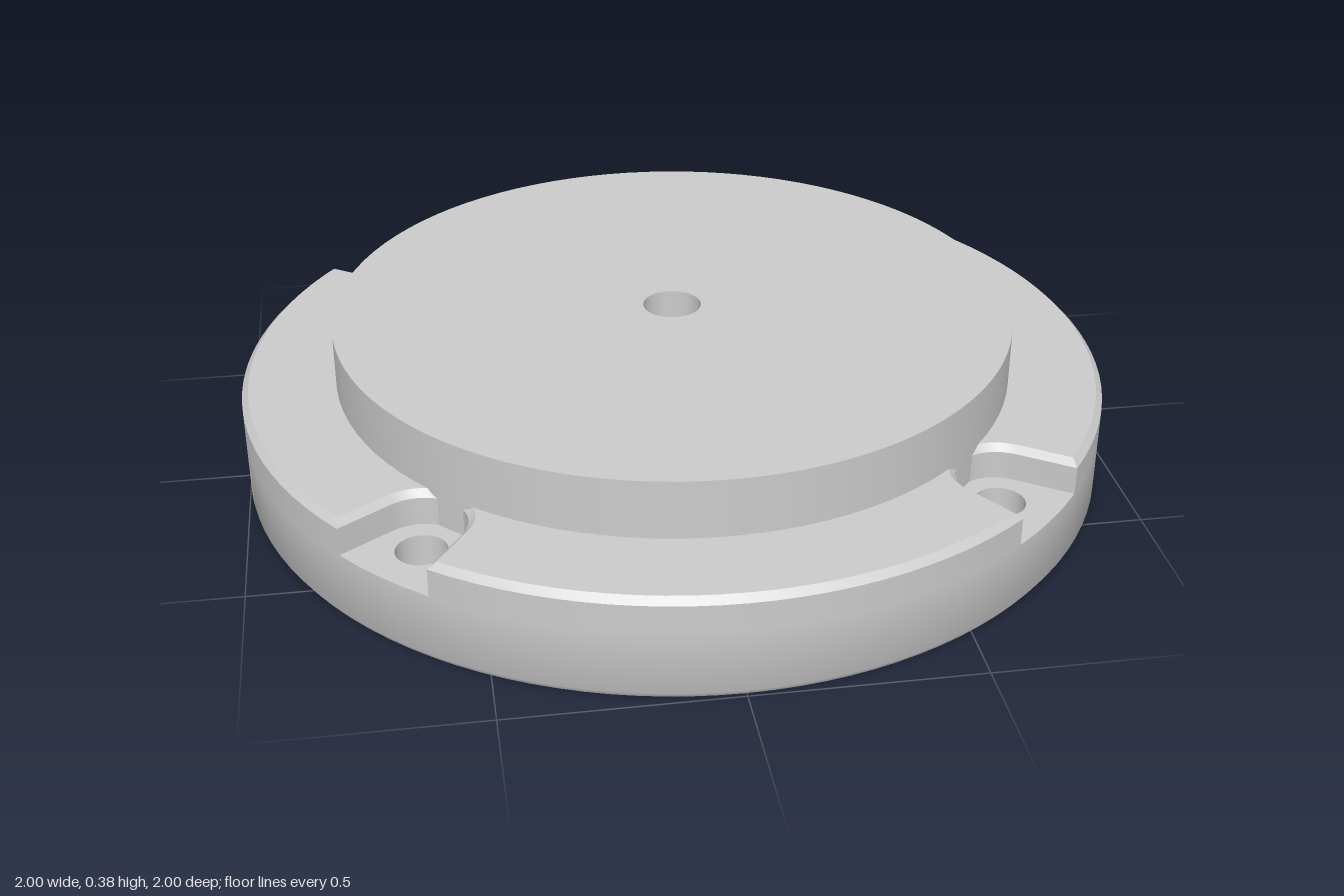
import * as THREE from 'three';
import { toCreasedNormals } from 'three/addons/utils/BufferGeometryUtils.js';

const FLOOR = 0.16, FLANGE_TOP = 0.24, TOP = 0.375, CHAMFER = 0.015;
const PEDESTAL_R = 0.785, BOLT_R = 0.877, NOTCH_R = 0.1, NOTCH_HALF = 0.1245;
const PORT_R = 0.09, PORT_Y = 0.12, RIM_STEPS = 24;
const RIM_SPAN = Math.PI / 2 - 2 * NOTCH_HALF;
const PATCH = 3 * RIM_SPAN / RIM_STEPS; // half angle of the wall patch around the side port

const grey = new THREE.MeshStandardMaterial({ color: 0xcccccc });
const greyDouble = new THREE.MeshStandardMaterial({ color: 0xcccccc, side: THREE.DoubleSide });

const polar = (r, a) => new THREE.Vector2(r * Math.cos(a), r * Math.sin(a));

function arc(r, from, to, steps) {
  return Array.from({ length: steps + 1 }, (_, i) => polar(r, from + (to - from) * i / steps));
}

function circleHole(x, y, r) {
  return new THREE.Path().absarc(x, y, r, 0, Math.PI * 2, true);
}

// Rounded inner edge of the notch on the diagonal at angle d
function notchArc(d) {
  const c = polar(BOLT_R, d);
  return arc(NOTCH_R, d - 1.76, d - 2 * Math.PI + 1.76, 20).map(p => p.add(c));
}

// Rim outline, either a full circle or with the four notches cut in
function rimOutline(notched) {
  const pts = [];
  for (let k = 0; k < 4; k++) {
    const d = Math.PI / 4 + k * Math.PI / 2;
    pts.push(...arc(1, d - Math.PI / 2 + NOTCH_HALF, d - NOTCH_HALF, RIM_STEPS));
    if (notched) pts.push(...notchArc(d));
    else pts.push(...arc(1, d - NOTCH_HALF, d + NOTCH_HALF, 4).slice(1, -1));
  }
  return new THREE.Shape(pts);
}

// Keep only the triangles whose centre passes the test
function keepFaces(geo, test) {
  const p = geo.attributes.position, out = [];
  const v = [0, 1, 2].map(() => new THREE.Vector3());
  for (let i = 0; i < p.count; i += 3) {
    v.forEach((q, j) => q.fromBufferAttribute(p, i + j));
    const c = new THREE.Vector3().add(v[0]).add(v[1]).add(v[2]).divideScalar(3);
    if (test(c)) v.forEach(q => out.push(q.x, q.y, q.z));
  }
  const g = new THREE.BufferGeometry();
  g.setAttribute('position', new THREE.Float32BufferAttribute(out, 3));
  return g;
}

const inPortPatch = c => c.x < -0.97 && Math.abs(c.z) < Math.sin(PATCH) && c.y > 0.02 && c.y < 0.22;

// Move every vertex by a rule
function reshape(geo, rule) {
  const p = geo.attributes.position, v = new THREE.Vector3();
  for (let i = 0; i < p.count; i++) {
    rule(v.fromBufferAttribute(p, i));
    p.setXYZ(i, v.x, v.y, v.z);
  }
  return geo;
}

export function createModel() {
  const group = new THREE.Group();
  const add = (name, geo, material = grey) => {
    const mesh = new THREE.Mesh(toCreasedNormals(geo, 0.6), material);
    mesh.name = name;
    group.add(mesh);
    return mesh;
  };
  const diagonals = [0, 1, 2, 3].map(k => Math.PI / 4 + k * Math.PI / 2);

  // Base disc with bolt holes, dowel holes and a small lower chamfer
  const baseShape = rimOutline(false);
  for (const d of diagonals) {
    const c = polar(BOLT_R, d);
    baseShape.holes.push(circleHole(c.x, c.y, 0.056));
  }
  for (const s of [-1, 1]) baseShape.holes.push(circleHole(0, s * 0.88, 0.044));
  const base = new THREE.ExtrudeGeometry(baseShape, { depth: FLOOR, steps: 2, bevelEnabled: false, curveSegments: 32 });
  base.rotateX(-Math.PI / 2);
  reshape(base, v => {
    if (Math.abs(v.y - FLOOR / 2) < 0.001) v.y = CHAMFER;
    else if (v.y < 0.001 && Math.hypot(v.x, v.z) > 0.98) { v.x *= 0.99; v.z *= 0.99; }
  });
  add('baseDisc', keepFaces(base, c => c.y < FLOOR - 0.001 && !inPortPatch(c)));

  // Raised flange with four notches and a chamfered upper edge
  const flangeShape = rimOutline(true);
  flangeShape.holes.push(circleHole(0, 0, 0.7));
  const flange = new THREE.ExtrudeGeometry(flangeShape, {
    depth: FLANGE_TOP - CHAMFER - FLOOR, curveSegments: 48,
    bevelSegments: 1, bevelSize: CHAMFER, bevelThickness: CHAMFER, bevelOffset: -CHAMFER,
  });
  flange.rotateX(-Math.PI / 2).translate(0, FLOOR, 0);
  add('flange', keepFaces(flange, c => c.y > FLOOR && !inPortPatch(c)));

  // Notch floors around the bolt holes
  for (const d of diagonals) {
    const shape = new THREE.Shape([...notchArc(d), ...arc(1, d + NOTCH_HALF, d - NOTCH_HALF, 4)]);
    const c = polar(BOLT_R, d);
    shape.holes.push(circleHole(c.x, c.y, 0.056));
    add('notchFloor', new THREE.ShapeGeometry(shape, 32).rotateX(-Math.PI / 2).translate(0, FLOOR, 0));
  }

  // Closed ends of the two dowel holes
  for (const s of [-1, 1]) {
    add('dowelHoleEnd', new THREE.CircleGeometry(0.046, 32).rotateX(Math.PI / 2).translate(0, FLOOR - 0.005, s * 0.88), greyDouble);
  }

  // Pedestal with a blind centre bore
  const profile = [[PEDESTAL_R, FLOOR], [PEDESTAL_R, TOP], [0.067, TOP], [0.067, 0.22], [0, 0.22]];
  const pedestal = new THREE.LatheGeometry(profile.map(p => new THREE.Vector2(...p)), 96);
  add('pedestal', pedestal, greyDouble);

  // Rim wall around the side port: a ring from the round port to a bent rectangle
  const wall = reshape(new THREE.PlaneGeometry(1, 1, 48, 3), v => {
    const t = (v.x + 0.5) * Math.PI * 2, k = v.y + 0.5;
    const edge = f => THREE.MathUtils.clamp(Math.SQRT2 * f, -1, 1);
    const a = THREE.MathUtils.lerp(Math.asin(PORT_R * Math.cos(t)), PATCH * edge(Math.cos(t)), k);
    const y = THREE.MathUtils.lerp(PORT_R * Math.sin(t), (FLANGE_TOP / 2 - CHAMFER) * edge(Math.sin(t)), k);
    v.set(-Math.cos(a), PORT_Y + y, Math.sin(a));
  });
  add('portWall', wall, greyDouble);

  // Side port bore, its mouth following the rim
  const bore = new THREE.CylinderGeometry(PORT_R, PORT_R, 0.21, 48, 1, true).rotateZ(Math.PI / 2);
  bore.translate(-0.895, PORT_Y, 0);
  reshape(bore, v => { if (v.x < -0.9) v.x = -Math.sqrt(1 - v.z * v.z); });
  add('portBore', bore, greyDouble);
  add('portEnd', new THREE.CircleGeometry(PORT_R, 48).rotateY(-Math.PI / 2).translate(-0.79, PORT_Y, 0), greyDouble);

  return group;
}
